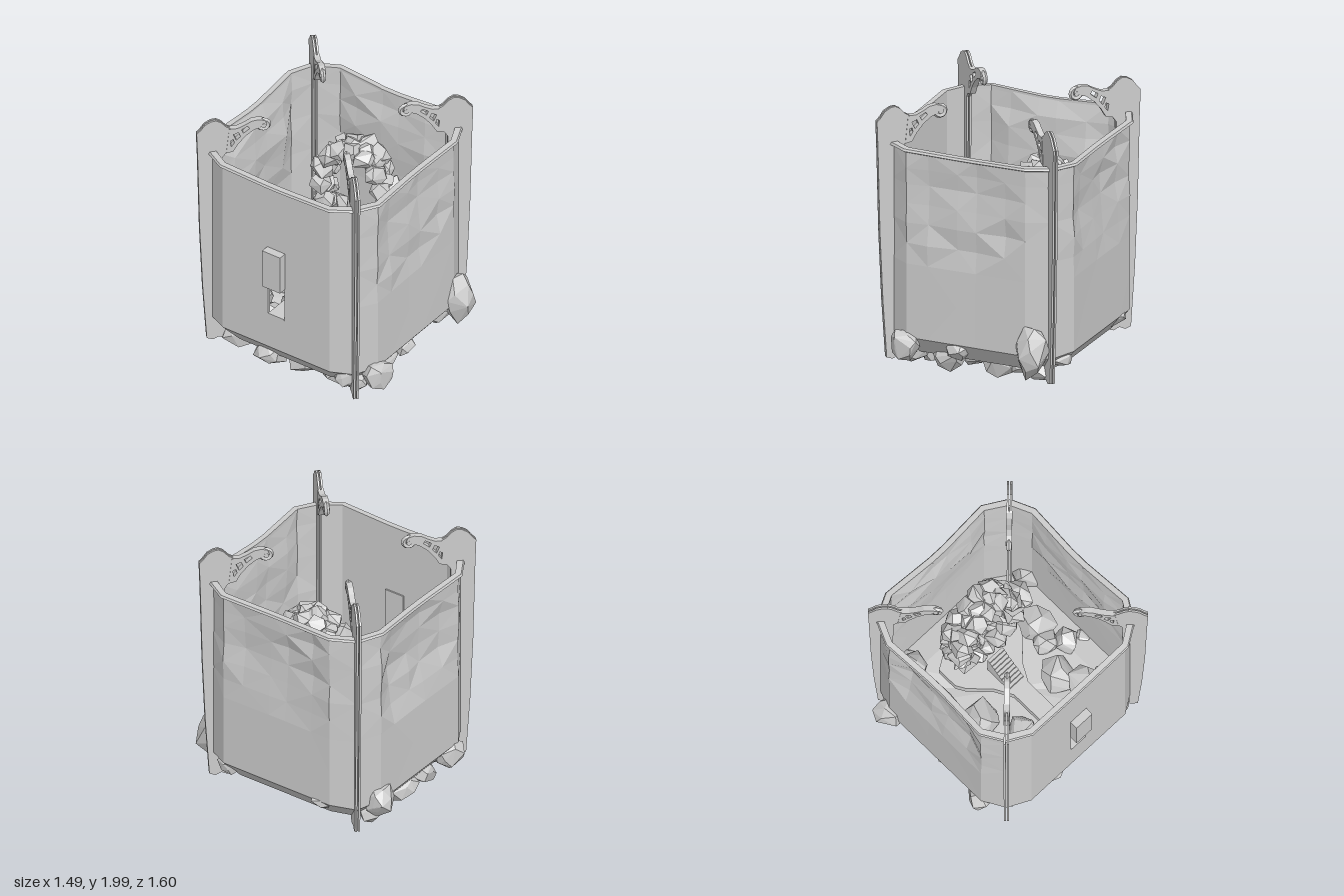
import * as THREE from 'three';
import { ConvexGeometry } from 'three/addons/geometries/ConvexGeometry.js';

const mat = new THREE.MeshStandardMaterial({ color: 0xcccccc, flatShading: true, side: THREE.DoubleSide });

let seed = 7;
function rnd() {
  seed = (seed * 16807) % 2147483647;
  return seed / 2147483647;
}

function add(parent, name, geo, x = 0, y = 0, z = 0) {
  const m = new THREE.Mesh(geo, mat);
  m.name = name;
  m.position.set(x, y, z);
  parent.add(m);
  return m;
}

// Skin between successive closed rings of points
function loft(rings, skip = () => false) {
  const pos = [];
  const n = rings[0].length;
  for (let j = 0; j < rings.length - 1; j++) {
    for (let i = 0; i < n; i++) {
      if (skip(i, j)) continue;
      const k = (i + 1) % n;
      const [a, b, c, d] = [rings[j][i], rings[j][k], rings[j + 1][k], rings[j + 1][i]];
      const tris = (i + j) % 2 ? [a, b, c, a, c, d] : [a, b, d, b, c, d];
      tris.forEach(p => pos.push(p[0], p[1], p[2]));
    }
  }
  const g = new THREE.BufferGeometry();
  g.setAttribute('position', new THREE.Float32BufferAttribute(pos, 3));
  g.computeVertexNormals();
  return g;
}

// Chunky convex boulder
function rock(parent, name, x, y, z, r, sy = 1, points = 20) {
  const pts = [];
  for (let i = 0; i < points; i++) {
    const h = 1 - 2 * (i + 0.5) / points, a = i * 2.4 + rnd() * 0.9;
    const w = Math.sqrt(1 - h * h), k = r * (0.8 + 0.36 * rnd());
    pts.push(new THREE.Vector3(w * Math.cos(a) * k, h * k * sy, w * Math.sin(a) * k));
  }
  const m = add(parent, name, new ConvexGeometry(pts), x, y, z);
  m.rotation.y = rnd() * 6;
}

// Wall plan: four pinched sides (front, +x, back, -x), each ending in a shared corner point
const cols = [-0.45, -0.29, -0.07, 0.07, 0.29, 0.45, 0.6];
const corners = [0.612, 0.622, 0.605, 0.595];
const sideDist = [0.685, 0.71, 0.7, 0.69];
const sag = [0.015, 0.03, 0.05, 0];
const rows = [0.36, 0.63, 0.9, 1.05, 1.2, 1.34, 1.48, 1.6, 1.73];
const dents = rows.map((y, j) => Array.from({ length: 28 }, (_, i) => {
  const c = i % 7, s = Math.floor(i / 7);
  if (s === 3 || j < 3 || j > 7 || c === 6) return 0;
  if (c === 0 || c === 5) return (rnd() - 0.55) * 0.015;
  return (rnd() - 0.5) * 0.04 - sag[s] * Math.sin((j - 2) / 6 * Math.PI);
}));

function ring(j, inset = 0, dy = 0, scale = 1) {
  const out = [];
  for (let s = 0; s < 4; s++) {
    const cos = Math.round(Math.cos(s * Math.PI / 2)), sin = Math.round(Math.sin(s * Math.PI / 2));
    cols.forEach((c, k) => {
      const atCorner = k === 6;
      const edge = Math.min(1, Math.abs(c) / 0.45);
      const pinch = s === 3 ? 0 : 0.025 * (1 - edge) * j / 8;
      const cornerDist = corners[s] - inset * 0.8;
      const d = scale * (atCorner ? cornerDist : sideDist[s] - pinch + dents[j][s * 7 + k] - inset);
      const a = scale * (atCorner ? cornerDist : c - Math.sign(c) * (edge === 1 ? inset * 0.3 : 0));
      let y = rows[j] + dy;
      if (j === 0 && atCorner) y -= 0.02;
      if (j === 8) y += 0.015 * edge - 0.01;
      out.push([a * cos + d * sin, y, -a * sin + d * cos]);
    });
  }
  return out;
}

function buildWalls(g) {
  const centre = y => Array.from({ length: 28 }, () => [0, y, 0]);
  const idx = rows.map((_, j) => j);
  const rings = [
    centre(0.2), ring(0, 0, -0.13, 0.85),
    ...idx.map(j => ring(j)),
    ...idx.slice().reverse().map(j => ring(j, 0.02)),
    ring(0, 0.05, 0.03, 0.8), centre(0.38)
  ];
  // Doorway left open in the -x side, through both skins
  add(g, 'enclosureWalls', loft(rings, (i, j) => i === 23 && (j === 3 || j === 17)));

  // Flared rim
  add(g, 'rim', loft([
    ring(8, 0.022, -0.018), ring(8, -0.008, -0.018), ring(8, -0.026, -0.008),
    ring(8, -0.018, 0.008), ring(8, 0.022, 0.01), ring(8, 0.022, -0.018)
  ]));

  // Doorway lining and raised door
  for (const z of [-0.072, 0.072]) add(g, 'doorJamb', new THREE.BoxGeometry(0.024, 0.27, 0.006), -0.678, 0.765, z);
  add(g, 'raisedDoor', new THREE.BoxGeometry(0.09, 0.3, 0.15), -0.705, 1.05, 0);
}

// Diagonal corner fin with scrolled bracket; x is measured along one axis
function toShape(pts, Type = THREE.Shape) {
  return new Type(pts.map(([x, y]) => new THREE.Vector2(x * Math.SQRT2, y)));
}
function plate(shape, t) {
  const geo = new THREE.ExtrudeGeometry(shape, { depth: t, bevelEnabled: false });
  return geo.translate(0, 0, -t / 2);
}

function buildFin(g, k) {
  const fin = new THREE.Group();
  fin.name = 'cornerFin';
  fin.rotation.y = Math.PI / 4 + k * Math.PI / 2;
  g.add(fin);

  // Twin blades running the full height, inside and outside the wall
  const blade = toShape([
    [0.505, 0.17], [0.54, 0.155], [0.57, 0.175], [0.6, 0.155], [0.63, 0.17], [0.65, 0.6], [0.665, 1.1],
    [0.675, 1.7], [0.68, 1.9], [0.66, 1.93], [0.64, 1.97], [0.61, 1.995], [0.585, 2], [0.56, 1.98], [0.535, 1.94],
    [0.51, 1.92], [0.525, 1.74], [0.555, 1.68], [0.56, 0.9], [0.545, 0.36], [0.505, 0.3]
  ]);
  for (const z of [-0.011, 0.011]) add(fin, 'finBlade', plate(blade, 0.014), 0, 0, z);

  const bracket = toShape([
    [0.535, 1.72], [0.5, 1.73], [0.475, 1.79], [0.44, 1.85], [0.4, 1.895], [0.37, 1.91], [0.335, 1.935],
    [0.345, 1.965], [0.375, 1.977], [0.41, 1.97], [0.44, 1.945], [0.48, 1.92], [0.52, 1.92]
  ]);
  bracket.holes.push(
    toShape([[0.51, 1.77], [0.495, 1.8], [0.5, 1.83], [0.515, 1.82]], THREE.Path),
    toShape([[0.485, 1.82], [0.465, 1.85], [0.475, 1.885], [0.5, 1.87]], THREE.Path),
    toShape([[0.45, 1.875], [0.42, 1.91], [0.43, 1.93], [0.46, 1.905]], THREE.Path)
  );
  add(fin, 'bracket', plate(bracket, 0.042));
  add(fin, 'scrollCurl', new THREE.TorusGeometry(0.036, 0.018, 5, 12), 0.35 * Math.SQRT2, 1.922, 0);
  const boss = new THREE.CylinderGeometry(0.018, 0.018, 0.045, 8).rotateX(Math.PI / 2);
  add(fin, 'scrollBoss', boss, 0.35 * Math.SQRT2, 1.922, 0);
}

// Bridge, platform and steps
function buildBridge(g) {
  const half = [[-0.69, 0.068], [-0.13, 0.068], [0, 0.14], [0.13, 0.27], [0.2, 0.31], [0.36, 0.31], [0.44, 0.18]];
  const outline = [...half, ...half.slice().reverse().map(([x, z]) => [x, -z])];
  const shape = new THREE.Shape(outline.map(([x, z]) => new THREE.Vector2(x, z)));
  const geo = new THREE.ExtrudeGeometry(shape, { depth: 0.06, bevelEnabled: false });
  add(g, 'bridge', geo.rotateX(Math.PI / 2), 0, 0.64, 0);
  const n = 9, run = 0.21 / n;
  for (let i = 0; i < n; i++) {
    const h = 0.02 * (i + 1);
    add(g, 'step', new THREE.BoxGeometry(run, h, 0.14), -0.08 + run * (i + 0.5), 0.64 + h / 2, 0);
  }
  // Upright ring of jagged rubble
  for (let i = 0; i < 48; i++) {
    const a = i / 48 * Math.PI * 2;
    const x = 0.27 + (i % 3 - 1) * 0.065;
    rock(g, 'portalRock', x, 1.14 + Math.sin(a) * 0.36, Math.cos(a) * 0.26, 0.06 + 0.03 * rnd(), 1, 12);
  }
}

function buildRocks(g) {
  // x, z, radius
  const inside = [
    [-0.54, -0.38, 0.12], [-0.43, -0.53, 0.14], [-0.33, -0.4, 0.12], [-0.21, -0.56, 0.08], [-0.02, -0.49, 0.11],
    [-0.04, -0.3, 0.14], [-0.49, -0.16, 0.14], [-0.29, -0.15, 0.1], [-0.53, 0.16, 0.14], [-0.17, 0.3, 0.13],
    [-0.52, 0.42, 0.1], [-0.43, 0.53, 0.11], [-0.34, 0.4, 0.12], [-0.04, 0.52, 0.1], [0.2, 0.46, 0.14],
    [0.57, 0.39, 0.11], [0.55, -0.38, 0.13], [0.36, -0.5, 0.13], [0.43, -0.56, 0.09], [0.05, 0.42, 0.1],
    [0.22, -0.53, 0.12], [0.46, 0.02, 0.14], [0.42, 0.5, 0.12]
  ];
  for (const [x, z, r] of inside) rock(g, 'innerRock', x, 0.43, z, r);

  // x, y, z, radius, vertical stretch
  const outer = [
    [0.5, 0.41, 0.69, 0.115, 1.75], [-0.45, 0.31, 0.68, 0.11, 1], [-0.08, 0.31, 0.63, 0.08, 1],
    [0.45, 0.36, -0.7, 0.11, 1.05], [-0.4, 0.28, -0.65, 0.11, 1], [0.64, 0.34, -0.35, 0.09, 0.8],
    [0.61, 0.31, 0.45, 0.1, 0.8], [-0.57, 0.28, 0.5, 0.09, 1]
  ];
  for (const [x, y, z, r, s] of outer) rock(g, 'outerRock', x, y, z, r, s);

  // Boulders hanging beneath the floor
  const under = [
    [-0.36, 0.125, 0, 0.13, 1], [0.14, 0.18, 0.44, 0.12, 0.8], [0.04, 0.18, -0.21, 0.14, 0.75],
    [0, 0.2, -0.53, 0.13, 0.85], [-0.54, 0.21, -0.14, 0.12, 0.9], [-0.4, 0.18, 0.32, 0.14, 0.8],
    [-0.25, 0.18, -0.22, 0.13, 0.8], [-0.12, 0.19, 0.3, 0.12, 0.85], [0.48, 0.23, 0.52, 0.11, 0.85],
    [0.28, 0.18, 0.05, 0.11, 0.7], [-0.45, 0.21, -0.45, 0.14, 0.85], [-0.2, 0.22, 0.54, 0.12, 0.85],
    [0.35, 0.22, -0.48, 0.12, 0.85], [-0.47, 0.22, 0.52, 0.11, 0.85], [0.45, 0.25, -0.6, 0.1, 0.9],
    [-0.2, 0.22, -0.56, 0.12, 0.85], [0.1, 0.17, 0.15, 0.1, 0.7], [0.32, 0.2, 0.42, 0.1, 0.8]
  ];
  for (const [x, y, z, r, s] of under) rock(g, 'underRock', x, y, z, r, s);
}

export function createModel() {
  const g = new THREE.Group();
  g.name = 'walledEnclosure';
  buildWalls(g);
  for (let k = 0; k < 4; k++) buildFin(g, k);
  buildBridge(g);
  buildRocks(g);
  return g;
}
